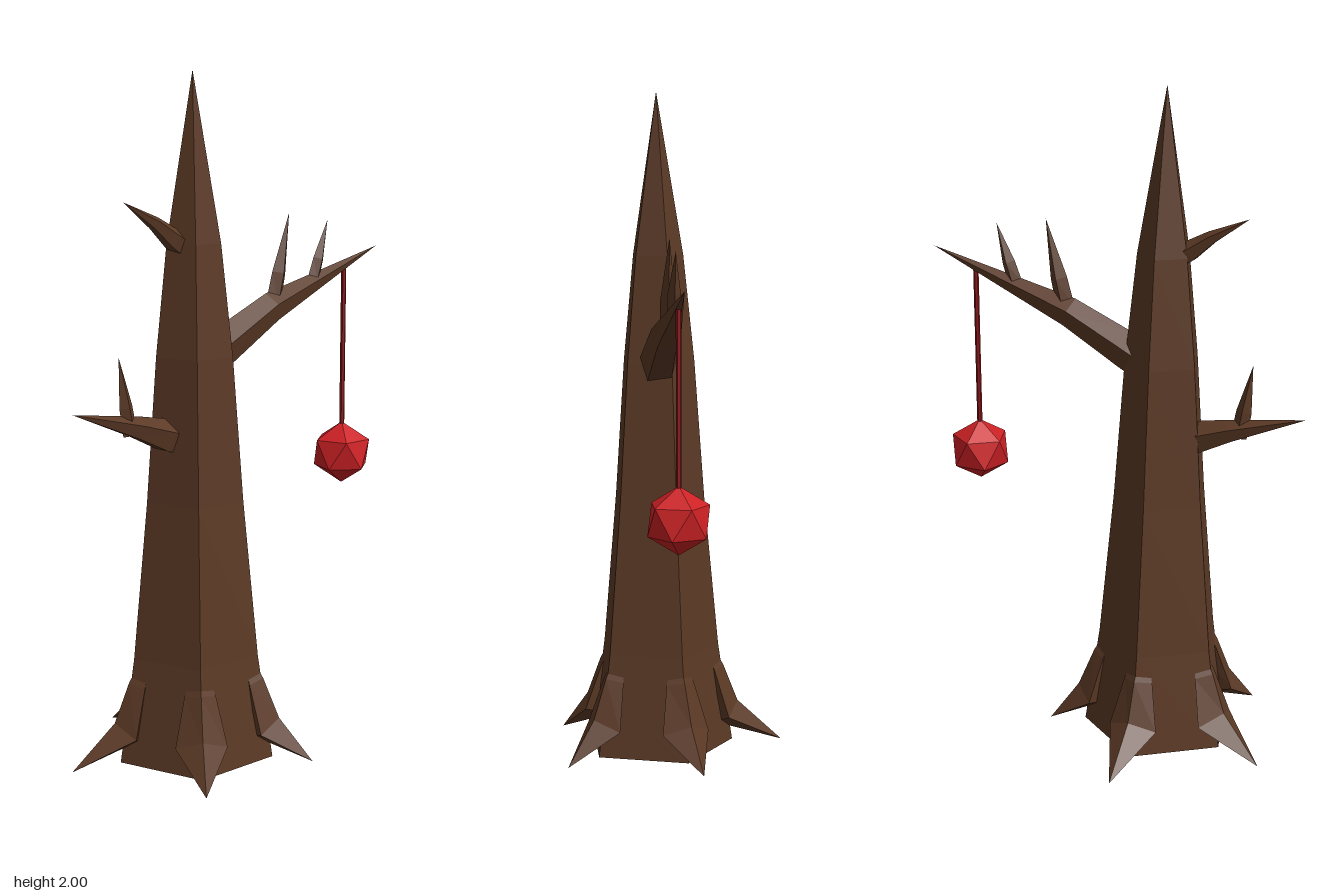
import * as THREE from 'three';

const bark = new THREE.MeshStandardMaterial({ color: 0x5b3925, flatShading: true });
bark.name = 'bark brown';
const red = new THREE.MeshStandardMaterial({ color: 0xcc2024, flatShading: true });
red.name = 'bright red';
const darkRed = new THREE.MeshStandardMaterial({ color: 0x8a1619, flatShading: true });
darkRed.name = 'dark red';

const AXIS_X = -0.163, AXIS_Z = 0.047;

// Tapered limb along a path in the local XY plane.
// Each station is [x, y, half height, half width]; the first side corner points along the path normal.
function limb(name, stations, sides) {
  const pos = [], index = [], count = stations.length;
  stations.forEach(([x, y, h, w], i) => {
    const p = stations[Math.max(i - 1, 0)], q = stations[Math.min(i + 1, count - 1)];
    const len = Math.hypot(q[0] - p[0], q[1] - p[1]);
    const tx = (q[0] - p[0]) / len, ty = (q[1] - p[1]) / len;
    for (let j = 0; j < sides; j++) {
      const a = (j / sides) * Math.PI * 2, c = Math.cos(a) * h;
      pos.push(x - ty * c, y + tx * c, Math.sin(a) * w);
    }
  });
  for (let i = 0; i < count - 1; i++) {
    for (let j = 0; j < sides; j++) {
      const k = (j + 1) % sides;
      const a = i * sides + j, b = i * sides + k, c = b + sides, d = a + sides;
      if (stations[i][2] > 0) index.push(a, b, d);
      if (stations[i + 1][2] > 0) index.push(b, c, d);
    }
  }
  // Close the thick end
  if (stations[0][2] > 0) for (let j = 1; j < sides - 1; j++) index.push(0, j + 1, j);
  const indexed = new THREE.BufferGeometry();
  indexed.setAttribute('position', new THREE.Float32BufferAttribute(pos, 3));
  indexed.setIndex(index);
  const geometry = indexed.toNonIndexed();
  geometry.computeVertexNormals();
  const mesh = new THREE.Mesh(geometry, bark);
  mesh.name = name;
  return mesh;
}

export function createModel() {
  const model = new THREE.Group();
  model.name = 'bareTree';
  const tree = new THREE.Group();
  tree.name = 'tree';
  tree.position.set(AXIS_X, 0, AXIS_Z);
  model.add(tree);

  // Five-sided trunk with one corner at the back
  const rings = [[0.01, 0.235], [0.32, 0.19], [0.78, 0.146], [1.2, 0.115], [1.52, 0.081], [2, 0]];
  const trunk = limb('trunk', rings.map(([y, r]) => [0, y, r, r]), 5);
  trunk.rotation.y = -Math.PI / 2;
  tree.add(trunk);

  // A root flaring from each trunk corner
  [0.39, 0.385, 0.35, 0.355, 0.345].forEach((reach, i) => {
    const root = limb('root', [
      [0.13, 0.38, 0, 0], [0.175, 0.24, 0.033, 0.045],
      [0.215, 0.1, 0.05, 0.075], [reach, 0.004, 0, 0],
    ], 4);
    root.rotation.y = Math.PI / 2 + (i * Math.PI * 2) / 5;
    tree.add(root);
  });

  // Branches, measured outward from the trunk axis
  const leftBranch = new THREE.Group();
  leftBranch.name = 'leftBranch';
  leftBranch.add(
    limb('branch', [
      [0.06, 1.19, 0.06, 0.06], [0.11, 1.215, 0.058, 0.058],
      [0.3, 1.31, 0.046, 0.046], [0.755, 1.463, 0, 0],
    ], 5),
    limb('twig', [[0.315, 1.32, 0.03, 0.022], [0.337, 1.41, 0.027, 0.022], [0.378, 1.585, 0, 0]], 4),
    limb('twig', [[0.48, 1.375, 0.024, 0.018], [0.502, 1.44, 0.021, 0.018], [0.54, 1.555, 0, 0]], 4),
  );
  const rightBranches = new THREE.Group();
  rightBranches.name = 'rightBranches';
  rightBranches.rotation.y = Math.PI;
  rightBranches.add(
    limb('lowerBranch', [
      [0.06, 0.965, 0.052, 0.052], [0.11, 0.98, 0.05, 0.05],
      [0.21, 1.015, 0.034, 0.036], [0.437, 1.082, 0, 0],
    ], 5),
    limb('twig', [[0.235, 1.0, 0.025, 0.018], [0.25, 1.08, 0.023, 0.018], [0.274, 1.222, 0, 0]], 4),
    limb('upperBranch', [
      [0.03, 1.505, 0.034, 0.034], [0.075, 1.535, 0.032, 0.032],
      [0.14, 1.582, 0.02, 0.022], [0.252, 1.646, 0, 0],
    ], 5),
  );
  tree.add(leftBranch, rightBranches);

  // Hanging cord and faceted ball
  const cord = new THREE.Mesh(new THREE.CylinderGeometry(0.008, 0.008, 0.52, 6), darkRed);
  cord.name = 'cord';
  cord.position.set(0.45, 1.145, AXIS_Z);
  const ballGeometry = new THREE.IcosahedronGeometry(0.096, 0);
  ballGeometry.rotateX(-Math.atan((1 + Math.sqrt(5)) / 2));
  ballGeometry.rotateY(Math.PI);
  const ball = new THREE.Mesh(ballGeometry, red);
  ball.name = 'ball';
  ball.position.set(0.45, 0.83, AXIS_Z);
  model.add(cord, ball);
  return model;
}
